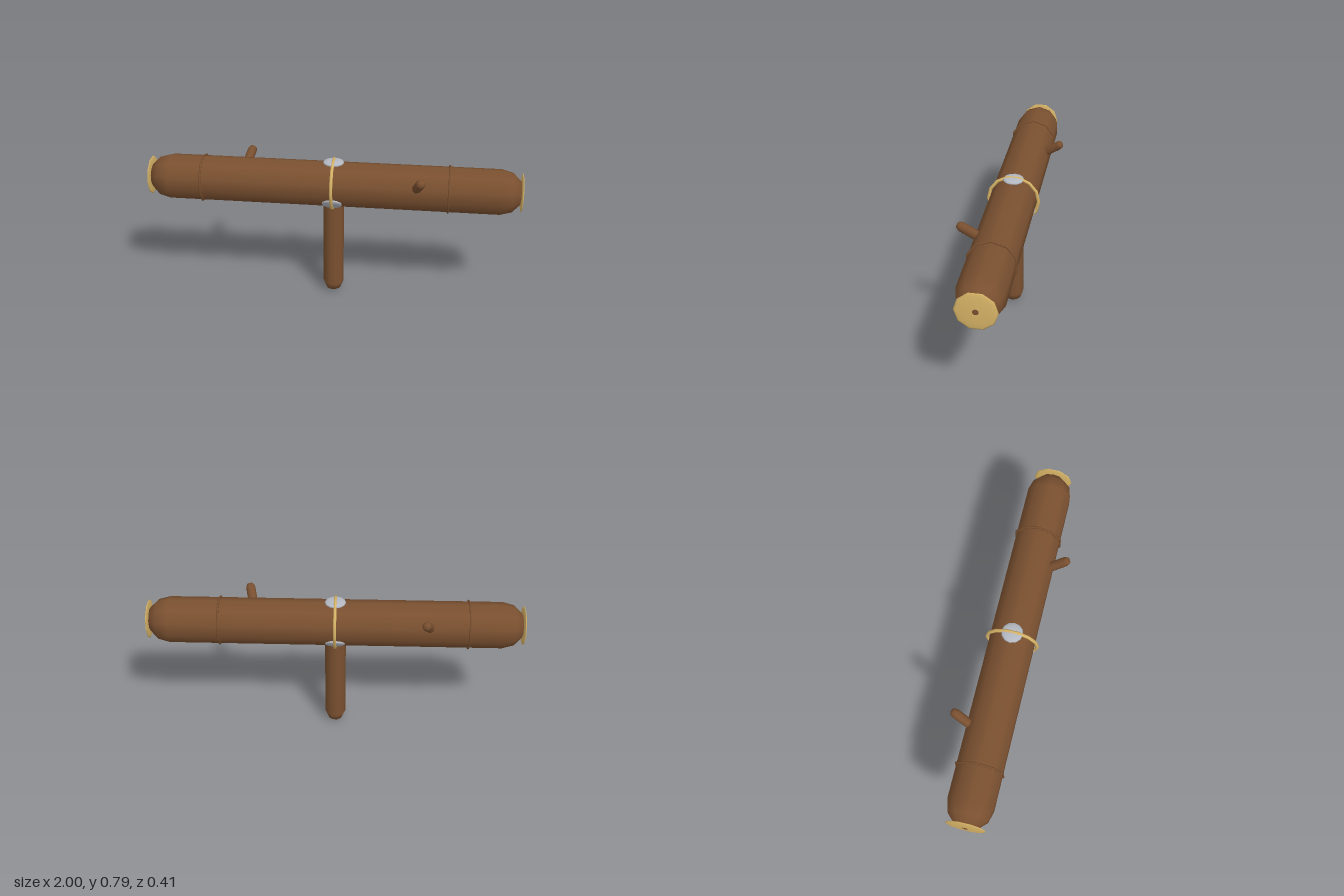
import * as THREE from 'three';

export function createModel() {
  const model = new THREE.Group();
  const mat = (name, color) => {
    const m = new THREE.MeshStandardMaterial({ color });
    m.name = name;
    return m;
  };
  const wood = mat('brown wood', 0x7a5030);
  const gold = mat('pale gold', 0xdab668);
  const silver = mat('silver', 0xb4b8c0);
  const AXIS_Y = 0.646;

  const add = (name, geometry, material, x, y, z) => {
    const mesh = new THREE.Mesh(geometry, material);
    mesh.name = name;
    mesh.position.set(x, y, z);
    model.add(mesh);
    return mesh;
  };

  // Long horizontal log and its upright post
  add('log', new THREE.CapsuleGeometry(0.122, 1.756, 3, 10).rotateZ(Math.PI / 2), wood, 0, AXIS_Y, 0);
  add('post', new THREE.CapsuleGeometry(0.056, 0.5, 2, 10), wood, 0, 0.306, 0);

  // Raised wooden rings around the log
  for (const x of [-0.7, 0.61]) {
    const ring = new THREE.TorusGeometry(0.125, 0.006, 6, 10).rotateZ(Math.PI / 2).rotateY(Math.PI / 2);
    add('logRing', ring, wood, x, AXIS_Y, 0);
  }

  // Lens-shaped end plates, pierced by the tips of the log
  for (const side of [-1, 1]) {
    const plate = new THREE.SphereGeometry(0.104, 10, 8)
      .scale(1, 0.077, 1).rotateY(Math.PI / 2).rotateZ(Math.PI / 2);
    add('endPlate', plate, gold, side * 0.988, AXIS_Y, 0);
  }

  // Gold band over the middle
  add('centreBand', new THREE.TorusGeometry(0.134, 0.009, 6, 14).rotateY(Math.PI / 2), gold, 0, AXIS_Y, 0);

  // Flattened silver studs: one on top, two low on the sides by the post
  for (const angle of [0, 2.4, -2.4]) {
    const r = angle === 0 ? 0.122 : 0.115;
    const stud = add('stud', new THREE.SphereGeometry(0.056, 12, 8).scale(1, 0.25, 1), silver,
      0, AXIS_Y + r * Math.cos(angle), r * Math.sin(angle));
    stud.rotation.x = angle;
  }

  // Angled pegs on front and back
  const up = new THREE.Vector3(0, 1, 0);
  for (const [x, side] of [[0.468, 1], [-0.466, -1]]) {
    const dir = new THREE.Vector3(0.22, 0.6, 0.77 * side).normalize();
    const tip = new THREE.Vector3(x, 0.757, 0.194 * side);
    const centre = tip.addScaledVector(dir, -0.085);
    const peg = add('peg', new THREE.CapsuleGeometry(0.025, 0.13, 2, 8), wood, centre.x, centre.y, centre.z);
    peg.quaternion.setFromUnitVectors(up, dir);
  }
  return model;
}
